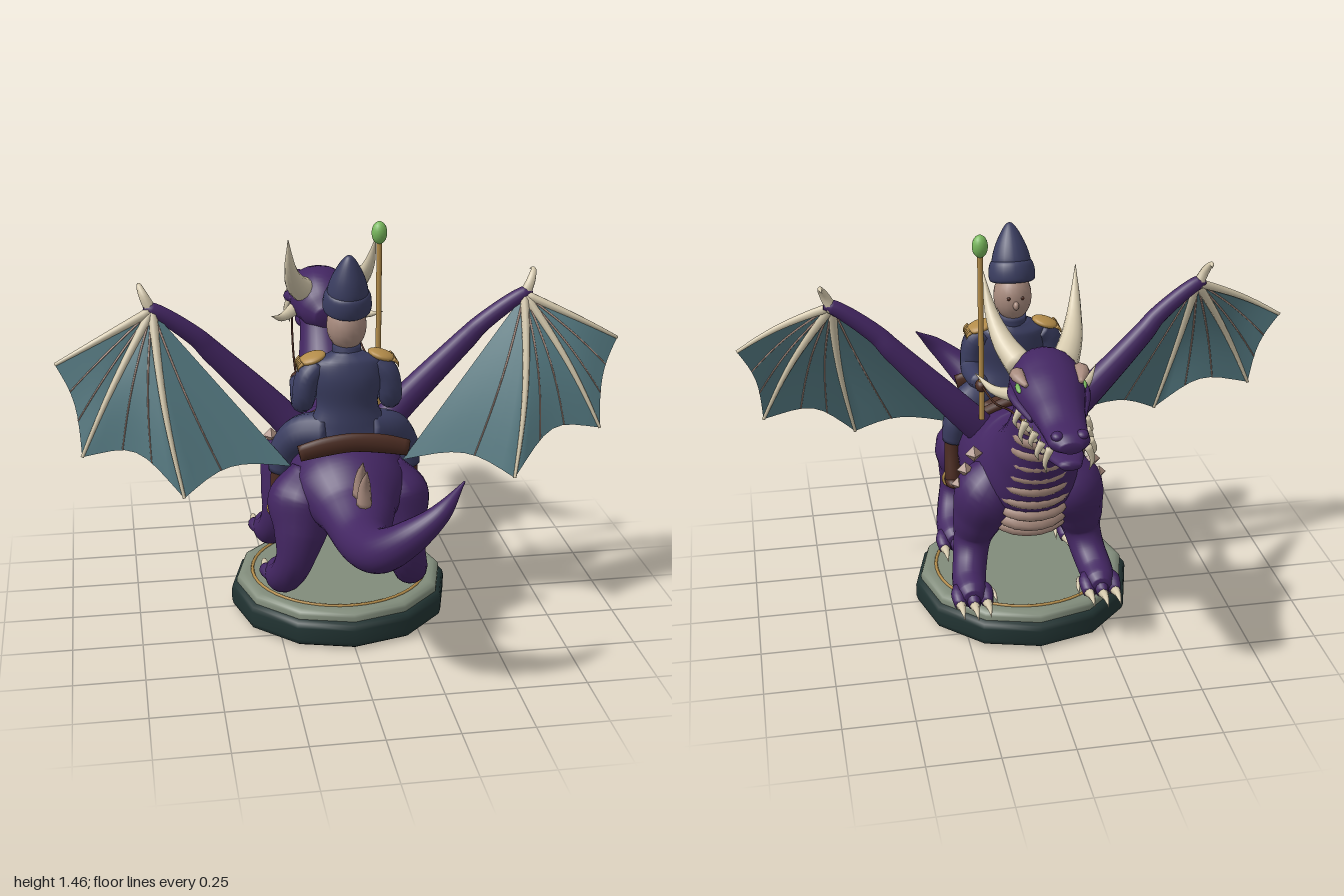
import * as THREE from 'three';

const V = (x, y, z) => new THREE.Vector3(x, y, z);
const paint = (name, color) => Object.assign(new THREE.MeshStandardMaterial({ color }), { name });

// Smooth tube through [x, y, z, rx, ry] stations; rx lies along ref, ry across it
function sweep(stations, steps = 6, sides = 14, ref = V(1, 0, 0)) {
  const path = new THREE.CatmullRomCurve3(stations.map(p => V(p[0], p[1], p[2])));
  const size = new THREE.CatmullRomCurve3(stations.map((p, i) => V(p[3], p[4] ?? p[3], i)), false, 'catmullrom', 0.4);
  const n = (stations.length - 1) * steps, pos = [], idx = [];
  const side = ref.clone();
  for (let k = -1; k <= n + 1; k++) {
    const t = Math.min(Math.max(k / n, 0), 1);
    const c = path.getPoint(t), T = path.getTangent(t), r = size.getPoint(t);
    side.addScaledVector(T, -side.dot(T)).normalize();
    const N = T.clone().cross(side), cap = k < 0 || k > n ? 0 : 1;
    for (let j = 0; j < sides; j++) {
      const a = j / sides * Math.PI * 2;
      const p = c.clone().addScaledVector(side, Math.cos(a) * Math.max(r.x, 0.001) * cap)
        .addScaledVector(N, Math.sin(a) * Math.max(r.y, 0.001) * cap);
      pos.push(p.x, p.y, p.z);
      if (k <= n) {
        const i = (k + 1) * sides, b = i + (j + 1) % sides;
        idx.push(i + j, b, i + j + sides, b, b + sides, i + j + sides);
      }
    }
  }
  return indexed(pos, idx);
}

function indexed(pos, idx) {
  const g = new THREE.BufferGeometry();
  g.setAttribute('position', new THREE.Float32BufferAttribute(pos, 3));
  g.setIndex(idx);
  g.computeVertexNormals();
  return g;
}

export function createModel() {
  const purple = paint('dragon hide', 0x432662), ivory = paint('ivory', 0xd6caae), tan = paint('tan plates and skin', 0xa88b7e);
  const teal = paint('wing membrane', 0x557a82), navy = paint('navy cloth', 0x3a3d60), brown = paint('leather', 0x4b2c22);
  const gold = paint('gold', 0xb38c4a), green = paint('green glow', 0x78b85c);
  const dark = paint('dark plinth', 0x223433), stone = paint('stone', 0x818c7b);
  teal.side = THREE.DoubleSide;

  const model = new THREE.Group();
  const add = (name, geo, mat) => {
    const m = new THREE.Mesh(geo, mat);
    m.name = name;
    model.add(m);
    return m;
  };
  const tube = (name, mat, pts, steps, sides, ref) => add(name, sweep(pts, steps, sides, ref), mat);
  const blob = (name, mat, p, r, rot = [0, 0, 0]) => {
    const m = add(name, new THREE.SphereGeometry(1, 18, 12), mat);
    m.position.set(...p); m.scale.set(...r); m.rotation.set(...rot);
    return m;
  };
  const mir = (s, pts) => pts.map(([x, ...rest]) => [x * s, ...rest]);
  // Tapered claw, horn or tooth
  const spike = (name, mat, pts, r, sides = 8) =>
    tube(name, mat, pts.map((p, i) => [...p, r * (1 - 0.97 * (i / (pts.length - 1)) ** 1.3)]), 4, sides);
  const lathe = (pts, sides) => new THREE.LatheGeometry(pts.map(p => new THREE.Vector2(...p)), sides);

  // Twelve-sided plinth with softened rims
  add('plinth', lathe([[0, 0], [.375, 0], [.385, .002], [.4, .012], [.405, .03], [.405, .075], [.4, .093], [.385, .102], [.37, .104], [0, .104]], 12), dark);
  add('plinthTop', lathe([[.385, .1], [.385, .118], [.38, .128], [.365, .136], [.35, .137], [0, .137]], 12), stone);
  const ring = add('plinthRing', new THREE.TorusGeometry(.325, .006, 6, 48), gold);
  ring.rotation.x = Math.PI / 2; ring.position.y = .138;

  // Neck, body and curling tail in one sweep
  tube('body', purple, [
    [0, 1.06, -.42, .09, .09], [0, .97, -.375, .09, .085], [0, .85, -.315, .105, .105], [0, .73, -.245, .14, .14],
    [0, .62, -.14, .19, .2], [0, .57, 0, .22, .21], [0, .56, .14, .22, .2], [0, .56, .28, .2, .165],
    [0, .535, .41, .135, .105], [0, .505, .56, .092, .087], [.03, .535, .71, .075], [.1, .605, .785, .06],
    [.2, .7, .815, .035], [.29, .79, .77, .003]], 8, 28);

  // Head and lower jaw
  tube('skull', purple, [
    [0, 1.03, -.28, .04, .04], [0, 1.04, -.33, .09, .085], [0, 1.068, -.42, .12, .117], [0, 1.07, -.52, .118, .1],
    [0, 1.056, -.65, .088, .066], [0, 1.04, -.75, .073, .042], [0, 1.035, -.82, .066, .037], [0, 1.03, -.855, .035, .02]], 6, 20);
  tube('lowerJaw', purple, [
    [0, .985, -.38, .08, .05], [0, .965, -.48, .095, .038], [0, .955, -.62, .075, .026],
    [0, .96, -.76, .06, .024], [0, .965, -.845, .035, .015]], 5, 16);

  // Broad overlapping throat and chest plates wrapped round the neck
  const throat = new THREE.CatmullRomCurve3([[.43, -.15], [.5, -.205], [.6, -.25], [.7, -.285], [.8, -.325], [.9, -.365]].map(p => V(0, ...p)));
  for (let i = 0; i < 10; i++) {
    const t = i / 9, p = throat.getPoint(t), T = throat.getTangent(t);
    blob('throatPlate', tan, [0, p.y, p.z], [.15 - .058 * t, .048, .103 - .02 * t], [Math.atan2(T.z, T.y) + .22, 0, 0]);
  }

  // Back fins on the neck and above the tail
  for (const [y, z] of [[.8, -.125], [.8, -.055], [.635, .475], [.635, .555]])
    tube('backFin', tan, [[0, y, z, .027, .03], [0, y + .07, z + .012, .02, .022], [0, y + .14, z + .055, .002]], 5, 8);

  for (const s of [1, -1]) {
    // Horns, cheek spikes, brows, eyes and nostrils
    spike('horn', ivory, mir(s, [[.07, 1.11, -.39], [.115, 1.165, -.3], [.145, 1.25, -.21], [.16, 1.37, -.145]]), .05, 12);
    spike('cheekSpike', ivory, mir(s, [[.1, 1.03, -.43], [.16, 1.02, -.35], [.21, 1.05, -.27]]), .026);
    tube('brow', tan, mir(s, [[.09, 1.115, -.44, .015], [.107, 1.135, -.5, .026, .022], [.09, 1.125, -.57, .008]]), 5, 8);
    blob('eye', green, [.107 * s, 1.1, -.53], [.011, .01, .028], [-.15, 0, 0]);
    tube('cheekRidge', purple, mir(s, [[.1, 1.07, -.42, .02], [.118, 1.06, -.5, .02], [.085, 1.035, -.64, .01]]), 4, 8);
    blob('nostril', purple, [.04 * s, 1.06, -.82], [.02, .015, .022]);

    // A few uneven teeth that splay outwards
    for (const [x, z, l] of [[.103, -.52, .06], [.1, -.61, .075], [.083, -.69, .05], [.077, -.765, .06], [.06, -.81, .085]])
      spike('upperTooth', ivory, [[x * s, 1.015, z], [(x + .016) * s, 1.01 - l / 2, z], [(x + .008) * s, 1.01 - l, z + .008]], .014, 7);
    for (const [x, z] of [[.078, -.57], [.074, -.65], [.064, -.73]])
      spike('lowerTooth', ivory, [[x * s, .965, z], [(x + .014) * s, .99, z], [(x + .008) * s, 1.02, z + .006]], .01, 7);

    // Legs with toes and claws
    const leg = (name, pts, foot) => {
      tube(name, purple, mir(s, pts), 6, 16);
      [-.048, 0, .048].forEach((dx, i) => {
        const x = .235 + dx * .5, x2 = .235 + dx, z = foot - (i === 1 ? .012 : 0);
        tube('toe', purple, mir(s, [[x, .195, z + .11, .025], [x2, .2, z + .05, .028], [x2, .178, z, .022]]), 4, 10);
        spike('claw', ivory, mir(s, [[x2, .18, z + .005], [x2, .19, z - .045], [x2, .178, z - .095]]), .019);
      });
      spike('dewClaw', ivory, mir(s, [[.17, .19, foot + .08], [.155, .19, foot + .04], [.15, .175, foot]]), .014);
    };
    leg('hindLeg', [[.12, .62, .2, .08], [.16, .52, .235, .13], [.18, .42, .28, .096], [.2, .33, .293, .07],
      [.22, .26, .26, .064], [.235, .21, .19, .062], [.235, .197, .115, .055], [.235, .195, .08, .035]], .07);
    leg('frontLeg', [[.1, .62, -.15, .08], [.15, .53, -.15, .12], [.185, .42, -.13, .094], [.205, .33, -.12, .07],
      [.22, .26, -.155, .064], [.235, .21, -.225, .062], [.235, .197, -.3, .055], [.235, .195, -.335, .035]], -.34);

    // Shoulder scales
    for (const [x, y, r] of [[.2, .685, .032], [.232, .625, .03], [.258, .57, .026]]) {
      const m = add('shoulderScale', new THREE.OctahedronGeometry(r), tan);
      m.position.set(x * s, y, -.15);
    }

    // Wing arm and thumb claw
    tube('wingArm', purple, mir(s, [[.12, .67, .03, .045, .06], [.24, .8, .02, .043, .055], [.46, 1.03, .035, .036, .04],
      [.51, 1.085, .045, .032, .034], [.66, 1.195, .06, .026], [.69, 1.2, .06, .012]]), 6, 14, V(0, 0, 1));
    spike('thumbClaw', ivory, mir(s, [[.66, 1.185, .06], [.685, 1.24, .055], [.7, 1.275, .03], [.695, 1.27, 0]]), .022);

    // Membrane: a bulged fan from the wrist with scalloped panels and a free inner edge
    const wrist = V(.66, 1.195, .065);
    const tips = [V(1, 1.03, .11), V(.925, .72, .2), V(.585, .59, .31), V(.2, .64, .2)];
    const scallop = [.07, .15, .09];
    const at = (u, r) => {
      const i = Math.min(Math.floor(u), 2), f = u - i;
      const p = tips[i].clone().lerp(tips[i + 1], f).lerp(wrist, scallop[i] * Math.sin(Math.PI * f));
      p.lerp(wrist, 1 - r);
      const bow = Math.sin(Math.PI * r) * Math.min(1, 3 - u);
      p.z += bow * .025;
      p.x += bow * .015;
      p.x *= s;
      return p;
    };
    const pos = [], idx = [], R = 8, U = 24;
    for (let i = 0; i <= U; i++) for (let j = 0; j <= R; j++) {
      pos.push(...at(i / 8, j / R).toArray());
      if (i < U && j < R) {
        const a = i * (R + 1) + j, b = a + R + 1;
        idx.push(...(s > 0 ? [a, a + 1, b, b, a + 1, b + 1] : [a, b, a + 1, b, b + 1, a + 1]));
      }
    }
    add('wingMembrane', indexed(pos, idx), teal);
    // Finger bones on the panel borders, thin ribs between them
    const bone = (name, mat, u, r0, r1) =>
      tube(name, mat, [0, .25, .5, .75, 1].map((r, i) => [...at(u, r).toArray(), r0 + (r1 - r0) * i / 4]), 3, 7);
    for (const u of [0, 1, 2]) bone('wingFinger', ivory, u, .017, .006);
    for (const u of [.35, .68, 1.35, 1.68, 2.4]) bone('wingRib', tan, u, .004, .0025);

    // Rider's sleeve, glove, epaulette, leg, boot and stirrup
    tube('sleeve', navy, mir(s, [[.1, 1.01, .19, .042], [.138, .97, .2, .045], [.155, .88, .19, .04],
      [.155, .87, .1, .034], [.15, .89, .01, .03]]), 5, 12);
    blob('glove', brown, [.15 * s, .89, -.02], [.022, .024, .028]);
    blob('epaulette', gold, [.122 * s, 1.035, .185], [.05, .017, .05], [0, 0, -.3 * s]);
    for (let i = 0; i < 6; i++)
      spike('epauletteFringe', gold, mir(s, [[.158, 1.028, .145 + i * .016], [.172, 1.015, .145 + i * .016], [.176, 1, .145 + i * .016]]), .008, 6);
    tube('trouserLeg', navy, mir(s, [[.06, .77, .21, .07], [.16, .75, .165, .065], [.22, .68, .14, .05], [.235, .6, .14, .04]]), 5, 12);
    tube('boot', brown, mir(s, [[.236, .66, .145, .028, .03], [.238, .56, .14, .03, .036], [.24, .47, .125, .03, .04], [.24, .425, .115, .026, .036]]), 5, 12);
    blob('bootFoot', brown, [.24 * s, .445, .11], [.03, .022, .046]);
    const stirrup = add('stirrup', new THREE.TorusGeometry(.036, .006, 6, 20), gold);
    stirrup.position.set(.24 * s, .452, .125);
    tube('stirrupStrap', brown, mir(s, [[.19, .74, .17, .012], [.235, .62, .16, .01], [.24, .5, .13, .008]]), 4, 6);

    // Reins from hand to bit
    tube('rein', brown, mir(s, [[.15, .89, -.02, .004], [.135, .91, -.22, .004], [.115, .97, -.42, .004], [.095, .99, -.56, .004]]), 5, 6);
    blob('bit', gold, [.095 * s, .99, -.56], [.01, .013, .013]);
  }

  // Saddle: seat, raised rear roll and front pommel
  blob('saddleSeat', brown, [0, .745, .16], [.15, .035, .12]);
  tube('saddleRear', brown, [[-.19, .745, .345, .018, .03], [-.1, .765, .345, .021, .035], [0, .775, .345, .021, .035],
    [.1, .765, .345, .021, .035], [.19, .745, .345, .018, .03]], 5, 12, V(0, 0, 1));
  tube('saddlePommel', brown, [[-.14, .75, .045, .018], [0, .795, .045, .02], [.14, .75, .045, .018]], 6, 10, V(0, 0, 1));

  // Rider's coat, collar and head
  tube('coat', navy, [[0, .755, .2, .17, .075], [0, .8, .2, .135, .072], [0, .87, .2, .108, .066], [0, .96, .198, .125, .073],
    [0, 1.02, .19, .12, .066], [0, 1.055, .185, .055, .045]], 6, 20);
  tube('collar', navy, [[0, 1.045, .185, .053, .048], [0, 1.08, .18, .05, .045]], 3, 16);
  blob('head', tan, [0, 1.15, .18], [.07, .092, .075]);
  blob('nose', tan, [0, 1.135, .106], [.011, .016, .016]);
  for (const s of [1, -1]) blob('riderEye', brown, [.025 * s, 1.16, .113], [.007, .007, .005]);

  // Tall pointed hat with a folded cuff, tipped backwards
  const profile = pts => lathe(new THREE.SplineCurve(pts.map(p => new THREE.Vector2(...p))).getPoints(24).map(p => p.toArray()), 24);
  const hat = new THREE.Group();
  hat.name = 'hat';
  for (const [name, pts] of [
    ['hatCuff', [[.07, 0], [.083, .01], [.084, .045], [.074, .075], [.05, .082]]],
    ['hatCrown', [[.068, .05], [.071, .08], [.057, .13], [.033, .18], [.013, .208], [0, .214]]]]) {
    const m = new THREE.Mesh(profile(pts), navy);
    m.name = name;
    hat.add(m);
  }
  hat.position.set(0, 1.2, .185);
  hat.rotation.x = .25;
  model.add(hat);

  // Staff with a glowing tip
  const staff = add('staff', new THREE.CylinderGeometry(.01, .01, .62, 12), gold);
  staff.position.set(.15, 1.07, -.027);
  blob('staffTip', green, [.15, 1.415, -.027], [.028, .041, .028]);

  return model;
}
